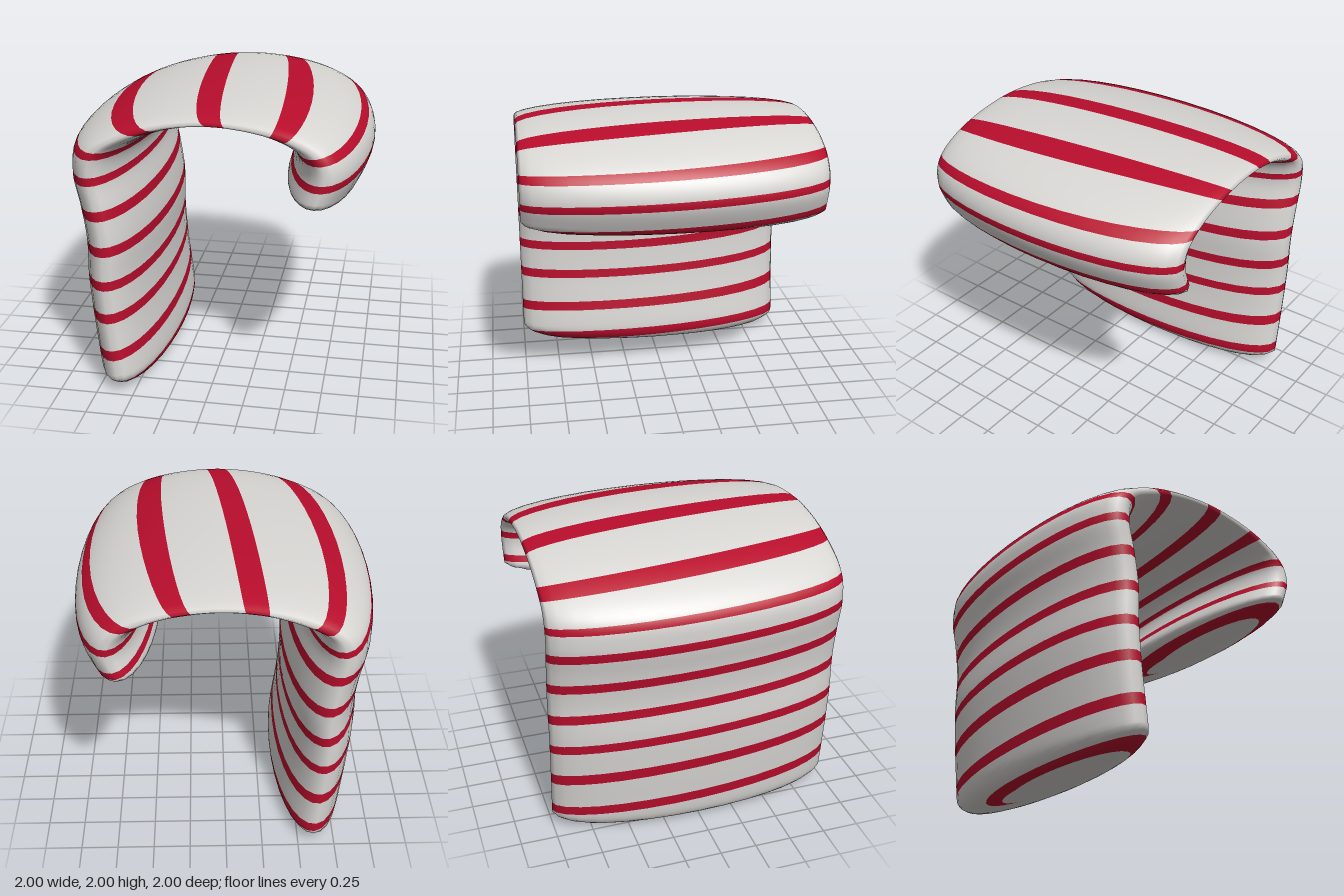
import * as THREE from 'three';
import { mergeVertices } from 'three/addons/utils/BufferGeometryUtils.js';

const SIDES = 32;      // segments around the cane
const STRIPE = 0.28;   // share of each helix turn that is red

// Stations along the cane: outer x,y, inner x,y, half depth, helix phase on outer and inner side
const STATIONS = [
  [-0.72, 0.005, -0.5, 0.01, 0.45, -1.2, -1.2],
  [-0.81, 0.03, -0.4, 0.03, 0.86, -0.85, -0.8],
  [-0.86, 0.1, -0.35, 0.12, 1, -0.5, -0.45],
  [-0.885, 0.3, -0.375, 0.345, 1, 0.25, 0.5],
  [-0.91, 0.55, -0.4, 0.56, 1, 1.1, 1.33],
  [-0.93, 0.8, -0.415, 0.82, 1, 2.12, 2.5],
  [-0.93, 1.05, -0.415, 1.07, 1, 3.2, 3.5],
  [-0.96, 1.28, -0.45, 1.32, 1, 4.17, 4.5],
  [-1.0, 1.5, -0.49, 1.53, 1, 5.12, 5.42],
  [-0.965, 1.7, -0.45, 1.68, 1, 6.2, 6.42],
  [-0.73, 1.86, -0.36, 1.74, 1, 6.95, 6.85],
  [-0.4, 1.955, -0.17, 1.82, 1, 7.5, 7.6],
  [0, 2.0, 0.05, 1.845, 1, 8.17, 8.17],
  [0.4, 1.975, 0.27, 1.81, 1, 8.87, 8.95],
  [0.72, 1.895, 0.42, 1.745, 1, 9.4, 9.75],
  [0.93, 1.77, 0.48, 1.67, 1, 10, 10.5],
  [1.0, 1.6, 0.475, 1.575, 1, 10.95, 11.1],
  [0.935, 1.42, 0.43, 1.43, 1, 11.9, 12.05],
  [0.89, 1.375, 0.47, 1.375, 0.86, 12.2, 12.35],
  [0.79, 1.355, 0.6, 1.35, 0.45, 12.7, 12.7],
];

const curve = (pick) => new THREE.CatmullRomCurve3(
  STATIONS.map((s) => new THREE.Vector3(...pick(s))), false, 'catmullrom', 0.5);
const outer = curve((s) => [s[0], s[1], 0]);
const inner = curve((s) => [s[2], s[3], 0]);
const phase = curve((s) => [s[5], s[6], 0]);

// Half depth stays linear between stations so the sides remain flat
function halfDepth(t) {
  const f = t * (STATIONS.length - 1);
  const i = Math.min(Math.floor(f), STATIONS.length - 2);
  return THREE.MathUtils.lerp(STATIONS[i][4], STATIONS[i + 1][4], f - i);
}

// Elliptical section at t; angle 0 is the outer side, a quarter turn is the front
function surfacePoint(t, j) {
  const a = ((j % SIDES) / SIDES) * Math.PI * 2;
  const p = outer.getPoint(t).lerp(inner.getPoint(t), (1 - Math.cos(a)) / 2);
  p.z = Math.sin(a) * halfDepth(t);
  return p;
}

// Find where along the cane the helix reaches a phase level, clamped to its ends
function solve(level, j) {
  const k = (1 - Math.cos((j / SIDES) * Math.PI * 2)) / 2;
  let lo = 0, hi = 1;
  const at = (t) => {
    const p = phase.getPoint(t);
    return THREE.MathUtils.lerp(p.x, p.y, k);
  };
  const target = level + j / SIDES;
  if (target <= at(0)) return 0;
  if (target >= at(1)) return 1;
  for (let i = 0; i < 28; i++) {
    const m = (lo + hi) / 2;
    if (at(m) < target) lo = m; else hi = m;
  }
  return (lo + hi) / 2;
}

export function createModel() {
  const white = new THREE.MeshStandardMaterial({ color: 0xd9d7d4 });
  white.name = 'sugarWhite';
  const red = new THREE.MeshStandardMaterial({ color: 0xb80d2c });
  red.name = 'stripeRed';

  // Helix levels: three thin rows for each red band, eight for each white band
  const levels = [];
  for (let n = -3; n <= 13; n++) {
    for (let i = 0; i < 3; i++) levels.push({ v: n - STRIPE / 2 + (STRIPE * i) / 3, red: true });
    for (let i = 0; i < 8; i++) levels.push({ v: n + STRIPE / 2 + ((1 - STRIPE) * i) / 8, red: false });
  }

  const faces = { white: [], red: [] };
  const tri = (list, a, b, c) => {
    if (a.distanceTo(b) < 2e-4 || b.distanceTo(c) < 2e-4 || c.distanceTo(a) < 2e-4) return;
    for (const p of [a, b, c]) list.push(p.x, p.y, p.z);
  };

  // Body: rows follow the helix so the stripe edges stay clean
  const columns = [];
  for (let j = 0; j <= SIDES; j++) {
    columns.push(levels.map((l) => surfacePoint(solve(l.v, j), j)));
  }
  for (let j = 0; j < SIDES; j++) {
    for (let i = 0; i < levels.length - 1; i++) {
      const list = levels[i].red ? faces.red : faces.white;
      const a = columns[j][i], b = columns[j + 1][i];
      const c = columns[j + 1][i + 1], d = columns[j][i + 1];
      tri(list, a, b, c);
      tri(list, a, c, d);
    }
  }

  // Plain white centres of the two ends
  for (const t of [0, 1]) {
    const centre = outer.getPoint(t).lerp(inner.getPoint(t), 0.5);
    for (let j = 0; j < SIDES; j++) {
      const p = surfacePoint(t, j), q = surfacePoint(t, j + 1);
      if (t === 0) tri(faces.white, centre, q, p);
      else tri(faces.white, centre, p, q);
    }
  }

  let geometry = new THREE.BufferGeometry();
  geometry.setAttribute('position',
    new THREE.Float32BufferAttribute(faces.white.concat(faces.red), 3));
  geometry = mergeVertices(geometry, 1e-4);
  geometry.computeVertexNormals();
  geometry.addGroup(0, faces.white.length / 3, 0);
  geometry.addGroup(faces.white.length / 3, faces.red.length / 3, 1);

  const cane = new THREE.Mesh(geometry, [white, red]);
  cane.name = 'stripedCane';
  const group = new THREE.Group();
  group.name = 'candyCane';
  group.add(cane);
  return group;
}
